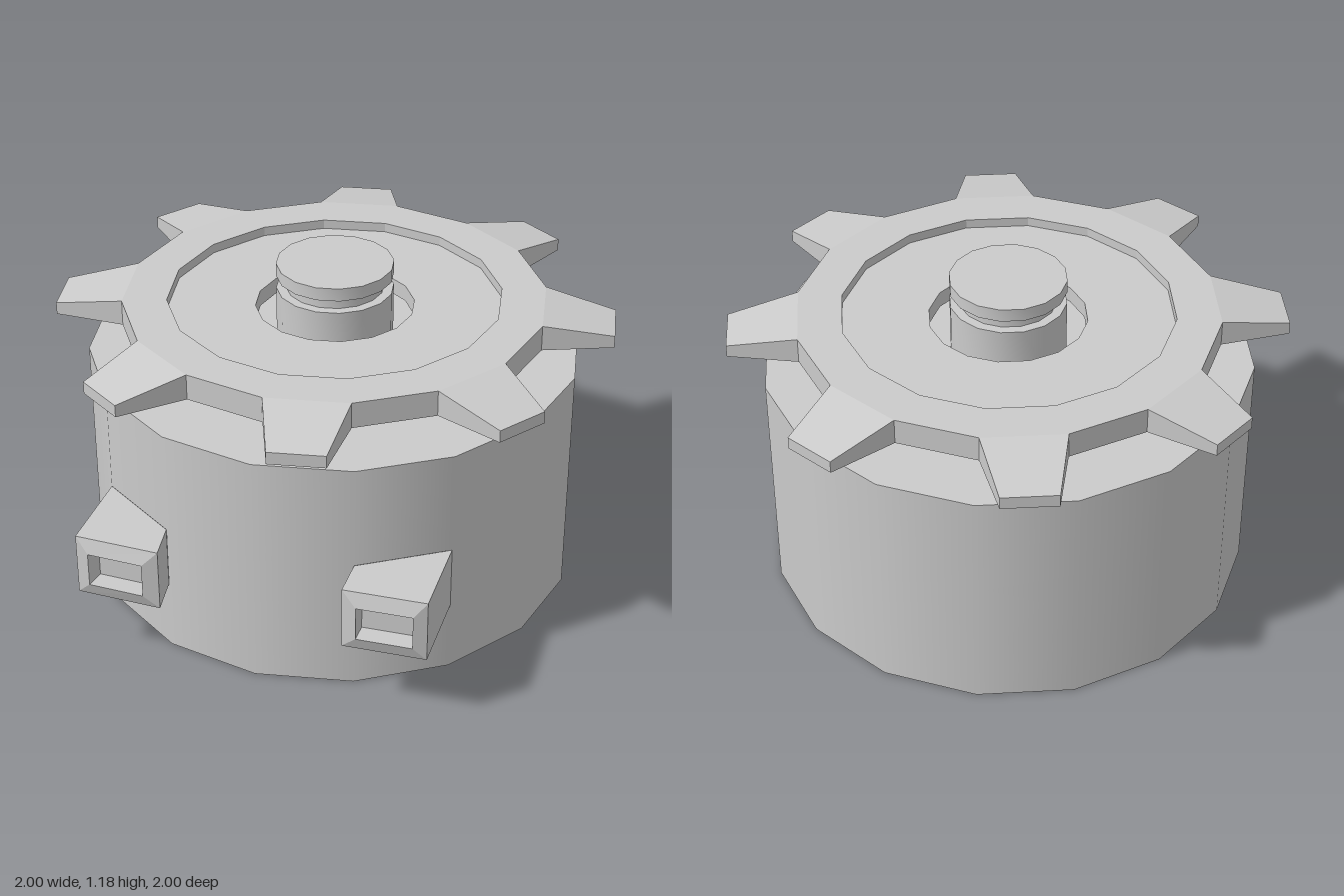
import * as THREE from 'three';
import { toCreasedNormals } from 'three/addons/utils/BufferGeometryUtils.js';

const SIDES = 16, STEP = Math.PI / 8;
const grey = new THREE.MeshStandardMaterial({ color: 0xcccccc });
const thin = new THREE.MeshStandardMaterial({ color: 0xcccccc, side: THREE.DoubleSide });

function add(parent, name, geometry, material = grey) {
  const mesh = new THREE.Mesh(geometry, material);
  mesh.name = name;
  parent.add(mesh);
  return mesh;
}

const polar = (r, a) => new THREE.Vector2(r * Math.cos(a), r * Math.sin(a));
const polygon = (r) => Array.from({ length: SIDES }, (_, i) => polar(r, i * STEP));

// Upright plate with the given outline, standing between two heights
function plate(points, hole, y0, y1) {
  const shape = new THREE.Shape(points);
  if (hole) shape.holes.push(new THREE.Path(hole));
  return new THREE.ExtrudeGeometry(shape, { depth: y1 - y0, bevelEnabled: false })
    .rotateX(-Math.PI / 2).translate(0, y0, 0);
}

// Open drum wall in three bands, with one facet left out behind each socket
function drumWall() {
  const heights = [0.865, 0.49, 0.26, 0];
  const geo = new THREE.CylinderGeometry(0.885, 0.885, 1, SIDES, 3, true);
  const pos = geo.attributes.position;
  for (let i = 0; i < pos.count; i++) pos.setY(i, heights[Math.floor(i / (SIDES + 1))]);
  const kept = Array.from(geo.index.array).filter((_, i) => {
    const facet = Math.floor(i / 18), band = Math.floor((i % 18) / 6);
    return !(band === 1 && (facet === 1 || facet === 14));
  });
  geo.setIndex(kept);
  return geo;
}

// Hollow socket: rectangular rings lofted from the wall to the recessed window.
// Each ring is [xLeft, zLeft, xRight, zRight, yBottom, yTop].
function socket(rings) {
  const verts = [], index = [];
  for (const [xa, za, xb, zb, y0, y1] of rings)
    verts.push(xa, y0, za, xb, y0, zb, xb, y1, zb, xa, y1, za);
  for (let r = 0; r < rings.length - 1; r++)
    for (let k = 0; k < 4; k++) {
      const a = r * 4 + k, b = r * 4 + (k + 1) % 4;
      index.push(a, b, b + 4, a, b + 4, a + 4);
    }
  const e = (rings.length - 1) * 4;
  index.push(e, e + 1, e + 2, e, e + 2, e + 3);
  const geo = new THREE.BufferGeometry();
  geo.setAttribute('position', new THREE.Float32BufferAttribute(verts, 3));
  geo.setIndex(index);
  const flat = geo.toNonIndexed();
  flat.computeVertexNormals();
  return flat;
}

export function createModel() {
  const model = new THREE.Group();
  model.name = 'drumWithSprocket';

  // Drum, open underneath
  const drum = new THREE.Group();
  drum.name = 'drum';
  model.add(drum);
  add(drum, 'drumWall', drumWall(), thin);
  add(drum, 'drumTop', new THREE.CircleGeometry(0.885, SIDES).rotateX(-Math.PI / 2).translate(0, 0.865, 0), thin);

  // Two sockets on the front
  add(drum, 'leftSocket', socket([
    [0.339, 0.818, 0.626, 0.626, 0.26, 0.49],
    [0.342, 0.96, 0.635, 0.945, 0.26, 0.49],
    [0.395, 0.975, 0.59, 0.965, 0.31, 0.435],
    [0.395, 0.905, 0.58, 0.895, 0.31, 0.435],
  ]), thin);
  add(drum, 'rightSocket', socket([
    [-0.626, 0.626, -0.339, 0.818, 0.26, 0.49],
    [-0.62, 0.952, -0.315, 0.958, 0.26, 0.49],
    [-0.57, 0.97, -0.37, 0.975, 0.31, 0.435],
    [-0.56, 0.9, -0.37, 0.905, 0.31, 0.435],
  ]), thin);

  // Sprocket: rim, recessed web and eight teeth sloping down to their tips
  const sprocket = new THREE.Group();
  sprocket.name = 'sprocket';
  model.add(sprocket);
  add(sprocket, 'rim', plate(polygon(0.76), polygon(0.6), 0.955, 1.05));
  add(sprocket, 'web', plate(polygon(0.6), polygon(0.285), 0.955, 1.015));
  for (let i = 0; i < 8; i++) {
    const a = i * 2 * STEP, mid = a + STEP / 2, half = 0.098;
    const geo = plate([
      polar(0.76, a), polar(1.003, mid - half), polar(1.003, mid + half), polar(0.76, a + STEP),
    ], null, 0.955, 1.05);
    const pos = geo.attributes.position;
    for (let v = 0; v < pos.count; v++)
      if (Math.hypot(pos.getX(v), pos.getZ(v)) > 0.9 && pos.getY(v) > 1) pos.setY(v, 1.0);
    geo.computeVertexNormals();
    add(sprocket, 'tooth' + (i + 1), geo);
  }

  // Grooved shaft
  const profile = [[0.21, 0.865], [0.21, 1.085], [0.175, 1.085], [0.175, 1.132], [0.21, 1.132], [0.21, 1.18], [0, 1.18]]
    .map(([r, y]) => new THREE.Vector2(r, y));
  add(model, 'shaft', toCreasedNormals(new THREE.LatheGeometry(profile, SIDES), 0.6));

  return model;
}
